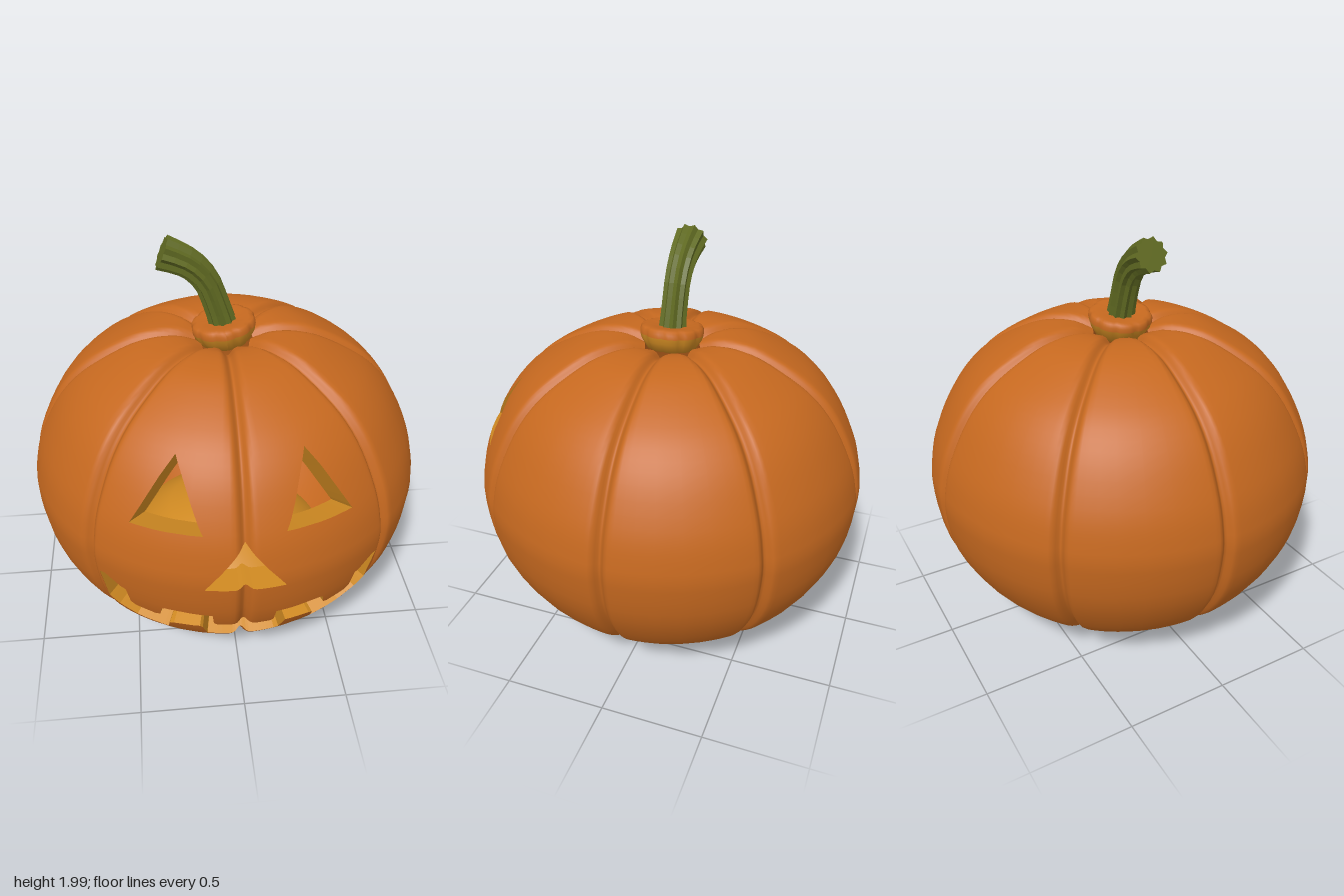
import * as THREE from 'three';

const mat = (name, color, side = THREE.FrontSide) => {
  const m = new THREE.MeshStandardMaterial({ color, side });
  m.name = name;
  return m;
};

// Half outline of the body, from the bottom opening to the top opening (radius, height)
const profile = new THREE.SplineCurve([
  [0.125, 0.08], [0.165, 0.02], [0.28, 0.008], [0.43, 0.033], [0.56, 0.09], [0.7, 0.185],
  [0.83, 0.325], [0.935, 0.53], [0.973, 0.75], [0.96, 0.89], [0.918, 1.03], [0.83, 1.2],
  [0.73, 1.32], [0.61, 1.408], [0.45, 1.49], [0.33, 1.52], [0.22, 1.52], [0.13, 1.49],
].map(p => new THREE.Vector2(...p)));
const SECTOR = Math.PI / 4, T0 = 0.002, T1 = 0.998, ROWS = 51, CENTRE_Y = 0.75;

// Point on the ribbed skin; k < 1 gives the inner wall
function skin(a, t, k = 1) {
  const p = profile.getPoint(t), d = profile.getTangent(t);
  const s = (a - Math.round(a / SECTOR) * SECTOR) * p.x;
  const groove = 0.034 * Math.exp(-((s / 0.024) ** 2));
  const r = (p.x - d.y * groove) * k;
  const y = CENTRE_Y + (p.y + d.x * groove - CENTRE_Y) * k;
  return new THREE.Vector3(r * Math.sin(a), y, r * Math.cos(a));
}

function skinNormal(a, t, k) {
  const e = 0.001;
  const u = skin(a + e, t, k).sub(skin(a - e, t, k));
  const v = skin(a, t + e, k).sub(skin(a, t - e, k));
  return u.cross(v).normalize();
}

// Front-view point (x, y) to skin coordinates (angle, t)
function toSkin([x, y]) {
  let lo = 0.15, hi = 0.9;
  for (let i = 0; i < 30; i++) {
    const m = (lo + hi) / 2;
    if (profile.getPoint(m).y < y) lo = m; else hi = m;
  }
  return [Math.asin(x / profile.getPoint(lo).x), lo];
}

const mirrored = half => [
  ...half.filter(p => p[0] > 0).reverse().map(([x, y]) => [-x, y]), ...half,
];
const hole = (lower, upper) => ({ lower: lower.map(toSkin), upper: upper.map(toSkin) });

// Face openings, listed from low to high
const holes = [
  hole( // toothed mouth
    mirrored([[0, 0.305], [0.16, 0.32], [0.18, 0.335], [0.187, 0.43], [0.2, 0.447], [0.32, 0.435],
      [0.338, 0.425], [0.345, 0.34], [0.49, 0.378], [0.57, 0.44], [0.615, 0.5], [0.645, 0.695]]),
    mirrored([[0, 0.48], [0.125, 0.485], [0.138, 0.5], [0.145, 0.572], [0.36, 0.585], [0.372, 0.575],
      [0.38, 0.52], [0.4, 0.512], [0.49, 0.535], [0.512, 0.555], [0.53, 0.645], [0.55, 0.65],
      [0.62, 0.7], [0.645, 0.695]])),
  hole([[-0.18, 0.76], [0.18, 0.76]], [[-0.18, 0.76], [0, 0.99], [0.18, 0.76]]), // nose
  hole([[0.18, 1.025], [0.49, 1.025]], [[0.18, 1.025], [0.275, 1.31], [0.49, 1.025]]), // eyes
  hole([[-0.49, 1.025], [-0.18, 1.025]], [[-0.49, 1.025], [-0.275, 1.31], [-0.18, 1.025]]),
];

function along(chain, a) {
  let i = 1;
  while (i < chain.length - 1 && chain[i][0] < a) i++;
  const [p, q] = [chain[i - 1], chain[i]];
  return p[1] + (q[1] - p[1]) * THREE.MathUtils.clamp((a - p[0]) / (q[0] - p[0]), 0, 1);
}

// Column angles: dense near each groove, plus every corner of the openings
function columns() {
  const list = [];
  for (let g = -4; g < 4; g++) {
    for (const o of [0, 0.01, 0.02, 0.032, 0.048, 0.07, 0.11, 0.17, 0.26]) {
      list.push(g * SECTOR + o, (g + 1) * SECTOR - o);
    }
    list.push((g + 0.5) * SECTOR);
  }
  for (const h of holes) list.push(...[...h.lower, ...h.upper].map(p => p[0]));
  list.sort((a, b) => a - b);
  return list.filter((a, i) => i === 0 || a - list[i - 1] > 1e-5);
}

class Quads {
  pos = [];
  nor = [];
  add(points, normals) {
    for (const i of [0, 1, 2, 0, 2, 3]) {
      this.pos.push(...points[i].toArray());
      if (normals) this.nor.push(...normals[i].toArray());
    }
  }
  build() {
    const g = new THREE.BufferGeometry();
    g.setAttribute('position', new THREE.Float32BufferAttribute(this.pos, 3));
    if (this.nor.length) g.setAttribute('normal', new THREE.Float32BufferAttribute(this.nor, 3));
    else g.computeVertexNormals();
    return g;
  }
}

// Outer skin, inner wall and the cut edges between them
function buildShell() {
  const outer = new Quads(), inner = new Quads(), cuts = new Quads();
  const K = 0.86, cols = columns();
  for (let c = 0; c + 1 < cols.length; c++) {
    const a = cols[c], b = cols[c + 1], mid = (a + b) / 2;
    const bounds = [[T0, T0]];
    for (const { lower, upper } of holes) {
      if (mid < lower[0][0] || mid > lower[lower.length - 1][0]) continue;
      const lo = [along(lower, a), along(lower, b)], hi = [along(upper, a), along(upper, b)];
      bounds.push(lo, hi);
      const edge = ([s, t]) => [skin(a, s), skin(b, t), skin(b, t, K), skin(a, s, K)];
      cuts.add(edge(lo));
      cuts.add(edge(hi).reverse());
    }
    bounds.push([T1, T1]);
    // Shared rows, trimmed to each solid band so neighbouring columns meet
    for (let i = 0; i < bounds.length; i += 2) {
      const [s, e] = [bounds[i], bounds[i + 1]];
      const at = (j, side) => THREE.MathUtils.clamp(j / ROWS, s[side], e[side]);
      for (let j = 0; j < ROWS; j++) {
        const uv = [[a, at(j, 0)], [b, at(j, 1)], [b, at(j + 1, 1)], [a, at(j + 1, 0)]];
        if (uv[0][1] === uv[3][1] && uv[1][1] === uv[2][1]) continue;
        outer.add(uv.map(p => skin(...p)), uv.map(p => skinNormal(...p, 1)));
        uv.reverse();
        inner.add(uv.map(p => skin(...p, K)), uv.map(p => skinNormal(...p, K).negate()));
      }
    }
  }
  return [outer, inner, cuts].map(q => q.build());
}

const lathe = points => new THREE.LatheGeometry(points.map(p => new THREE.Vector2(...p)), 60);

// Scalloped turned piece for the lid
function scalloped(points) {
  const g = lathe(points);
  const p = g.attributes.position;
  for (let i = 0; i < p.count; i++) {
    const x = p.getX(i), z = p.getZ(i);
    const f = 0.94 + 0.06 * Math.sqrt(Math.abs(Math.sin(5 * Math.atan2(z, x))));
    p.setXYZ(i, x * f, p.getY(i), z * f);
  }
  g.computeVertexNormals();
  return g;
}

// Ridged stem: a cylinder bent along a curve, flaring at the tip
function stemGeometry() {
  const path = new THREE.SplineCurve([[0, 1.53], [-0.015, 1.59], [-0.05, 1.7], [-0.085, 1.785],
    [-0.14, 1.85], [-0.2, 1.89], [-0.283, 1.925]].map(p => new THREE.Vector2(...p)));
  const g = new THREE.CylinderGeometry(1, 1, 1, 20, 9);
  const p = g.attributes.position;
  for (let i = 0; i < p.count; i++) {
    const x = p.getX(i), z = p.getZ(i), t = p.getY(i) + 0.5;
    const c = path.getPoint(t), d = path.getTangent(t);
    const ridge = 1 + 0.1 * Math.cos(10 * Math.atan2(x, z));
    const r = (0.057 + 0.018 * t ** 3 + 0.012 * (1 - t) ** 6) * ridge;
    p.setXYZ(i, c.x + d.y * x * r, c.y - d.x * x * r, z * r);
  }
  const flat = g.toNonIndexed();
  flat.computeVertexNormals();
  return flat;
}

export function createModel() {
  const rind = mat('orange rind', 0xc5681f);
  const flesh = mat('yellow flesh', 0xd08a22, THREE.DoubleSide);
  const green = mat('stem green', 0x606a22);
  const wax = mat('candle wax', 0xb0964f);
  const group = new THREE.Group();
  group.name = 'carvedPumpkin';
  const add = (name, geometry, material, parent = group) => {
    const m = new THREE.Mesh(geometry, material);
    m.name = name;
    parent.add(m);
    return m;
  };

  const [outer, inner, cuts] = buildShell();
  add('outerSkin', outer, rind);
  add('innerWall', inner, rind);
  add('cutEdges', cuts, flesh);

  // Tilted lid plug
  const lid = new THREE.Group();
  lid.name = 'lid';
  lid.position.set(0, 1.53, 0);
  lid.rotation.z = 0.15;
  group.add(lid);
  add('lidPlug', scalloped([[0, -0.06], [0.12, -0.06], [0.148, -0.015], [0.156, 0.012]]), flesh, lid);
  add('lidTop', scalloped([[0.156, 0.012], [0.156, 0.032], [0.147, 0.047], [0.128, 0.053], [0.09, 0.047], [0, 0.04]]), rind, lid);
  add('stem', stemGeometry(), green);

  // Raised floor inside, with the candle on it, and the disc closing the bottom
  add('innerFloor', lathe([[0.58, 0.19], [0.45, 0.34], [0.3, 0.44], [0.12, 0.49], [0, 0.49]]), flesh);
  add('candle', new THREE.CylinderGeometry(0.065, 0.065, 0.52, 24), wax).position.set(-0.01, 0.74, 0);
  add('baseDisc', new THREE.CylinderGeometry(0.14, 0.14, 0.04, 32), wax).position.y = 0.105;
  return group;
}
